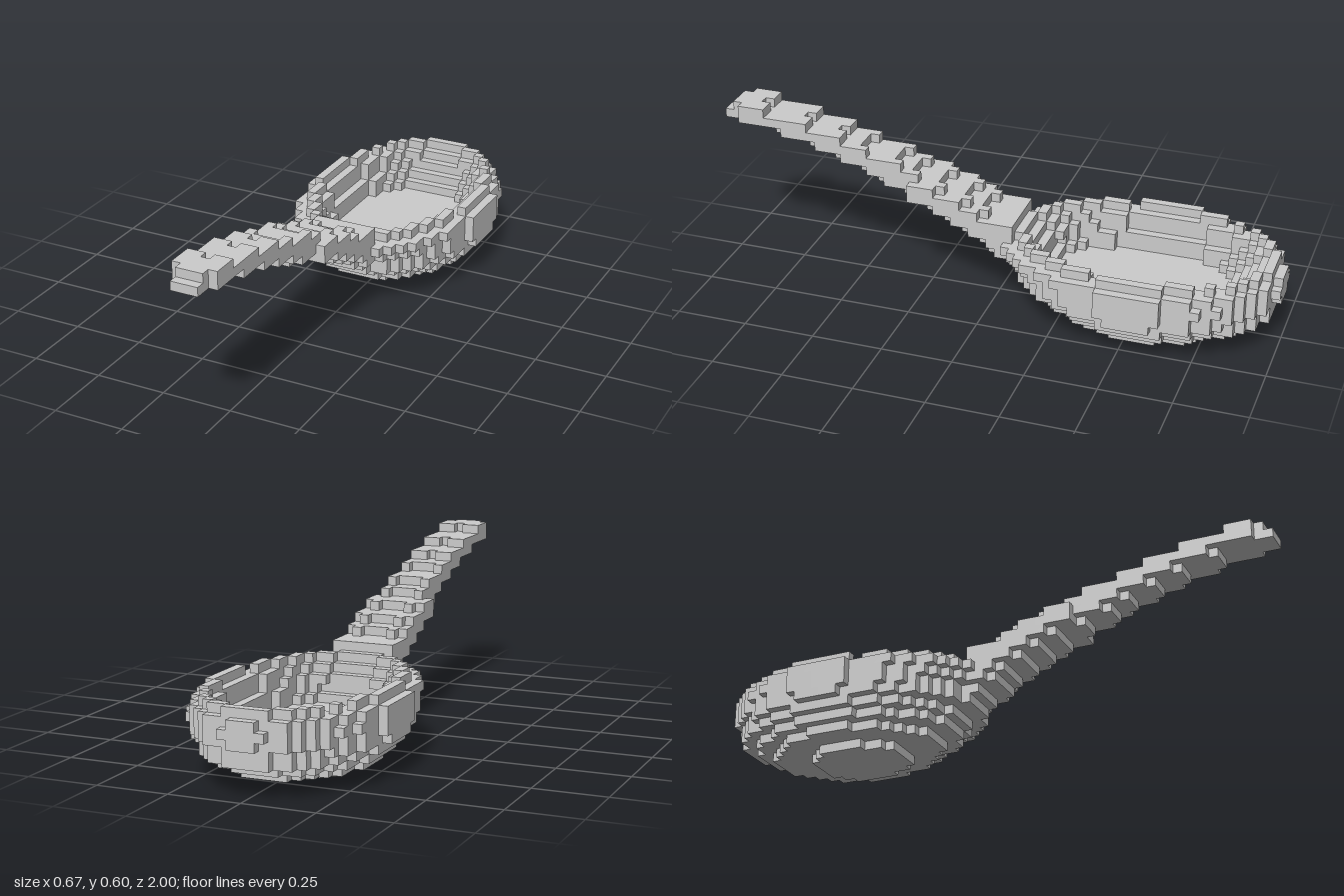
import * as THREE from 'three';

// Block grid: 21 wide (i), 19 high (j), 63 long (k, from back to front)
const V = 2 / 63;
const MID = 14; // widest row of the bowl

// Per layer: half width in blocks, first row, last row, squareness
const OUTER = [
  [4, 10, 19, 2.5], [7, 5, 23, 2], [8, 3, 25, 2], [9, 1, 26, 2], [9.85, 1, 28, 2],
  [10, 0.3, 28, 2], [10, 0, 29, 2], [10, 0.3, 30, 2], [9, 1, 28, 2],
];
const CAVITY = {
  4: [6, 6, 24, 3], 5: [6, 5, 25, 3], 6: [7, 4, 25, 2.5], 7: [7, 3, 26, 2.5], 8: [8, 2, 27, 2.2],
};

// Row at which the handle climbs to each next level
const TOP_STEPS = [29, 32, 34, 37, 40, 42, 46, 49, 53, 58];
const BOTTOM_STEPS = [28, 30, 32, 33, 35, 37, 39, 42, 45, 47, 50, 53, 57];
const level = (steps, base, k) => base + steps.filter((s) => s <= k).length - 1;

// Egg-shaped outline of one layer
function inEgg(layer, i, k) {
  if (!layer) return false;
  const [half, first, last, e] = layer;
  const semi = k < MID ? MID + 0.5 - first : last + 0.5 - MID;
  return Math.abs(i / (half + 0.3)) ** e + Math.abs((k - MID) / semi) ** e <= 1;
}

const inBowl = (i, j, k) => inEgg(OUTER[j], i, k) && !inEgg(CAVITY[j], i, k);

// Stepped handle: shallow central groove, rounded outer columns, narrow tip
function inHandle(i, j, k) {
  if (k < 29 || k > 62 || inBowl(i, j, k)) return false;
  const x = Math.abs(i);
  const half = k <= 40 ? 3 : k <= 60 ? 2 : 1;
  if (x > half) return false;
  const lag = k > 29 && (x === 3 || x <= (k < 48 ? 1 : 0)) ? 1 : 0;
  const top = k === 62 ? 18 : level(TOP_STEPS, 10, k - lag);
  const bottom = level(BOTTOM_STEPS, 5, x === half ? k + 1 : k);
  return j >= bottom && j < top;
}

const solid = (i, j, k) => inBowl(i, j, k) || inHandle(i, j, k);

// Surface made of the exposed faces of all blocks of one part
function blockMesh(name, inside, material) {
  const pos = [], index = [];
  for (let i = -10; i <= 10; i++)
    for (let j = 0; j < 19; j++)
      for (let k = 0; k < 63; k++) {
        if (!inside(i, j, k)) continue;
        for (let d = 0; d < 3; d++)
          for (const s of [-1, 1]) {
            const next = [i, j, k];
            next[d] += s;
            if (solid(...next)) continue;
            const n = pos.length / 3;
            for (const [a, b] of [[-1, -1], [1, -1], [1, 1], [-1, 1]]) {
              const p = [i, j + 0.5, k - 31];
              p[d] += s / 2;
              p[(d + 1) % 3] += a / 2;
              p[(d + 2) % 3] += b / 2;
              pos.push(p[0] * V, p[1] * V, p[2] * V);
            }
            if (s > 0) index.push(n, n + 1, n + 2, n, n + 2, n + 3);
            else index.push(n, n + 2, n + 1, n, n + 3, n + 2);
          }
      }
  const geometry = new THREE.BufferGeometry();
  geometry.setAttribute('position', new THREE.Float32BufferAttribute(pos, 3));
  geometry.setIndex(index);
  geometry.computeVertexNormals();
  const mesh = new THREE.Mesh(geometry, material);
  mesh.name = name;
  return mesh;
}

export function createModel() {
  const group = new THREE.Group();
  group.name = 'spoon';
  const material = new THREE.MeshStandardMaterial({ color: 0xcccccc, flatShading: true });
  group.add(blockMesh('bowl', inBowl, material), blockMesh('handle', inHandle, material));
  return group;
}
